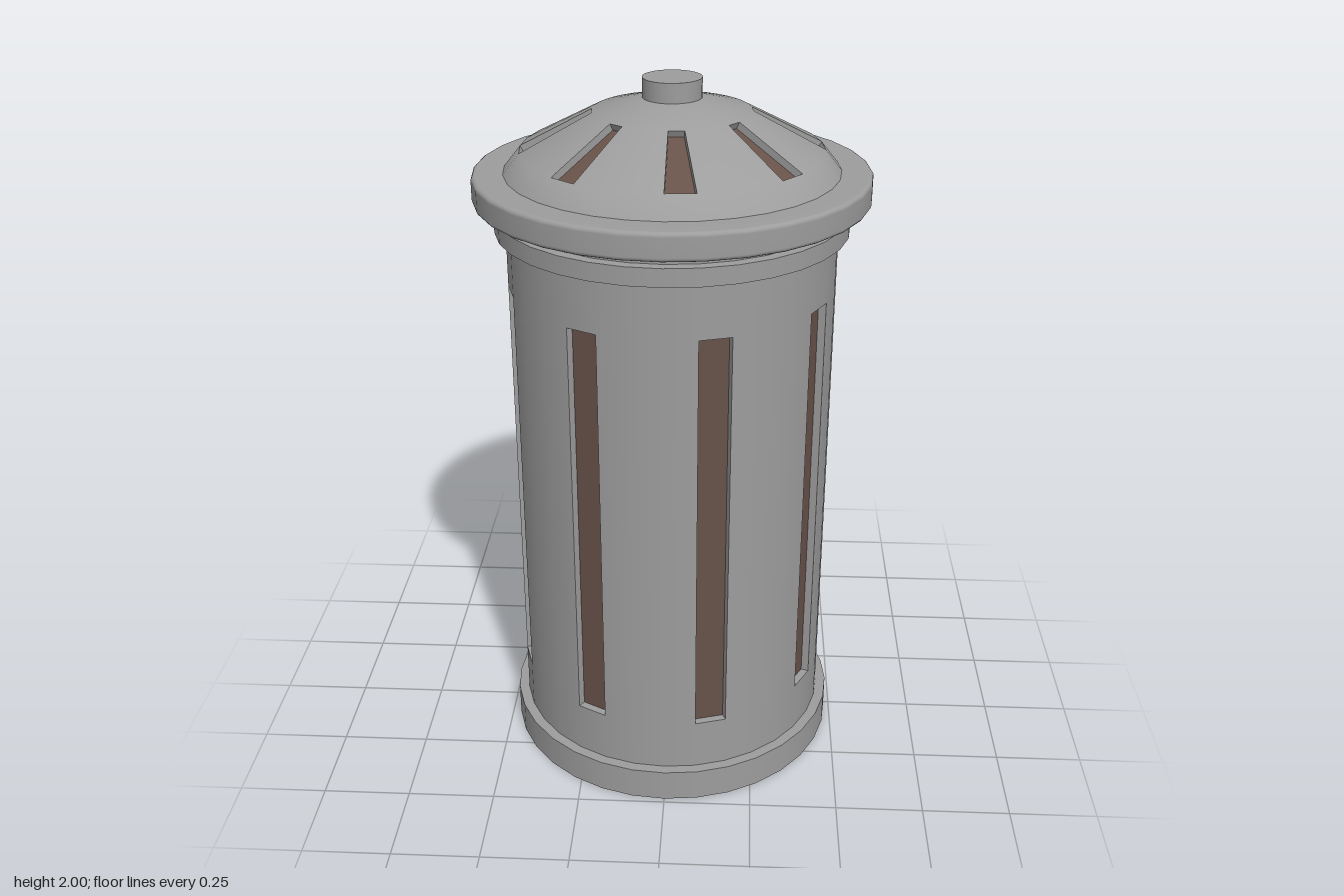
import * as THREE from 'three';
import { mergeGeometries } from 'three/addons/utils/BufferGeometryUtils.js';

const SIDES = 32;
const STEP = (Math.PI * 2) / SIDES;
const SLOT_EVERY = 4; // one slot per four sides, eight in all

const grey = new THREE.MeshStandardMaterial({ color: 0x9d9d9d });
const brown = new THREE.MeshStandardMaterial({ color: 0x675249 });

function part(name, geometry, material = grey) {
  const mesh = new THREE.Mesh(geometry, material);
  mesh.name = name;
  return mesh;
}

// Turned surface; profile points are [radius, height], listed bottom to top
function turn(profile) {
  return new THREE.LatheGeometry(profile.map(([r, y]) => new THREE.Vector2(r, y)), SIDES);
}

// Several turned strips with a sharp edge between each of them
function turnStrips(...strips) {
  return mergeGeometries(strips.map(turn));
}

// Rounded corner of a profile, a quarter circle in four steps
function roundCorner(r, y, radius, startAngle) {
  return [0, 1, 2, 3, 4].map((k) => {
    const angle = startAngle + (k * Math.PI) / 8;
    return [r + radius * Math.cos(angle), y + radius * Math.sin(angle)];
  });
}

// Opens one profile row on every fourth side
function cutSlots(geometry, rows, row, phase) {
  const index = Array.from(geometry.index.array);
  geometry.setIndex(index.filter((_, k) => {
    const cell = Math.floor(k / 6);
    return !(cell % rows === row && Math.floor(cell / rows) % SLOT_EVERY === phase);
  }));
  return geometry;
}

function quads(list) {
  const positions = list.flatMap(([a, b, c, d]) => [a, b, c, a, c, d].flatMap((p) => p.toArray()));
  const geometry = new THREE.BufferGeometry();
  geometry.setAttribute('position', new THREE.Float32BufferAttribute(positions, 3));
  geometry.computeVertexNormals();
  return geometry;
}

// Recessed pockets behind the slots: grey walls and a brown back panel
function slotPockets(name, phase, low, high, inset) {
  const walls = [];
  const panels = [];
  const corners = (phi, dr, dy) => {
    const at = (angle, [r, y]) =>
      new THREE.Vector3((r - dr) * Math.sin(angle), y - dy, (r - dr) * Math.cos(angle));
    return [at(phi, low), at(phi + STEP, low), at(phi + STEP, high), at(phi, high)];
  };
  for (let i = phase; i < SIDES; i += SLOT_EVERY) {
    const outer = corners(i * STEP, 0, 0);
    const inner = corners(i * STEP, inset[0], inset[1]);
    panels.push(inner);
    for (let k = 0; k < 4; k++) {
      const n = (k + 1) % 4;
      walls.push([outer[k], outer[n], inner[n], inner[k]]);
    }
  }
  const group = new THREE.Group();
  group.name = name;
  group.add(part('slotWalls', quads(walls)), part('slotPanels', quads(panels), brown));
  return group;
}

export function createModel() {
  const model = new THREE.Group();
  model.name = 'litterBin';

  // Base plinth
  model.add(part('base', turnStrips(
    [[0, 0], [0.485, 0]],
    [[0.485, 0], [0.485, 0.095]],
    [[0.485, 0.095], [0.455, 0.095]],
  )));

  // Slotted drum
  const bodyLow = [0.455, 0.245];
  const bodyHigh = [0.455, 1.44];
  const drum = turn([[0.455, 0.095], bodyLow, bodyHigh, [0.455, 1.68]]);
  model.add(part('body', cutSlots(drum, 3, 1, 1)));
  model.add(slotPockets('bodySlots', 1, bodyLow, bodyHigh, [0.022, 0]));

  // Collar band near the top of the drum
  model.add(part('collar', turnStrips(
    [[0.455, 1.595], [0.485, 1.595]],
    [[0.485, 1.595], [0.485, 1.645]],
    [[0.485, 1.645], [0.455, 1.645]],
  )));

  // Lid rim with a softly rounded edge
  model.add(part('lidRim', turn([
    [0.44, 1.678],
    ...roundCorner(0.528, 1.69, 0.012, -Math.PI / 2),
    ...roundCorner(0.528, 1.742, 0.012, 0),
    [0.455, 1.754],
  ])));

  // Slotted dome
  const domeLow = [0.41, 1.81];
  const domeHigh = [0.215, 1.912];
  const dome = turn([[0.455, 1.754], domeLow, domeHigh, [0.08, 1.947], [0, 1.95]]);
  model.add(part('lidDome', cutSlots(dome, 4, 1, 0)));
  model.add(slotPockets('lidSlots', 0, domeLow, domeHigh, [0.009, 0.018]));

  // Knob
  model.add(part('knob', turnStrips(
    [[0.08, 1.94], [0.08, 2]],
    [[0.08, 2], [0, 2]],
  )));

  return model;
}
